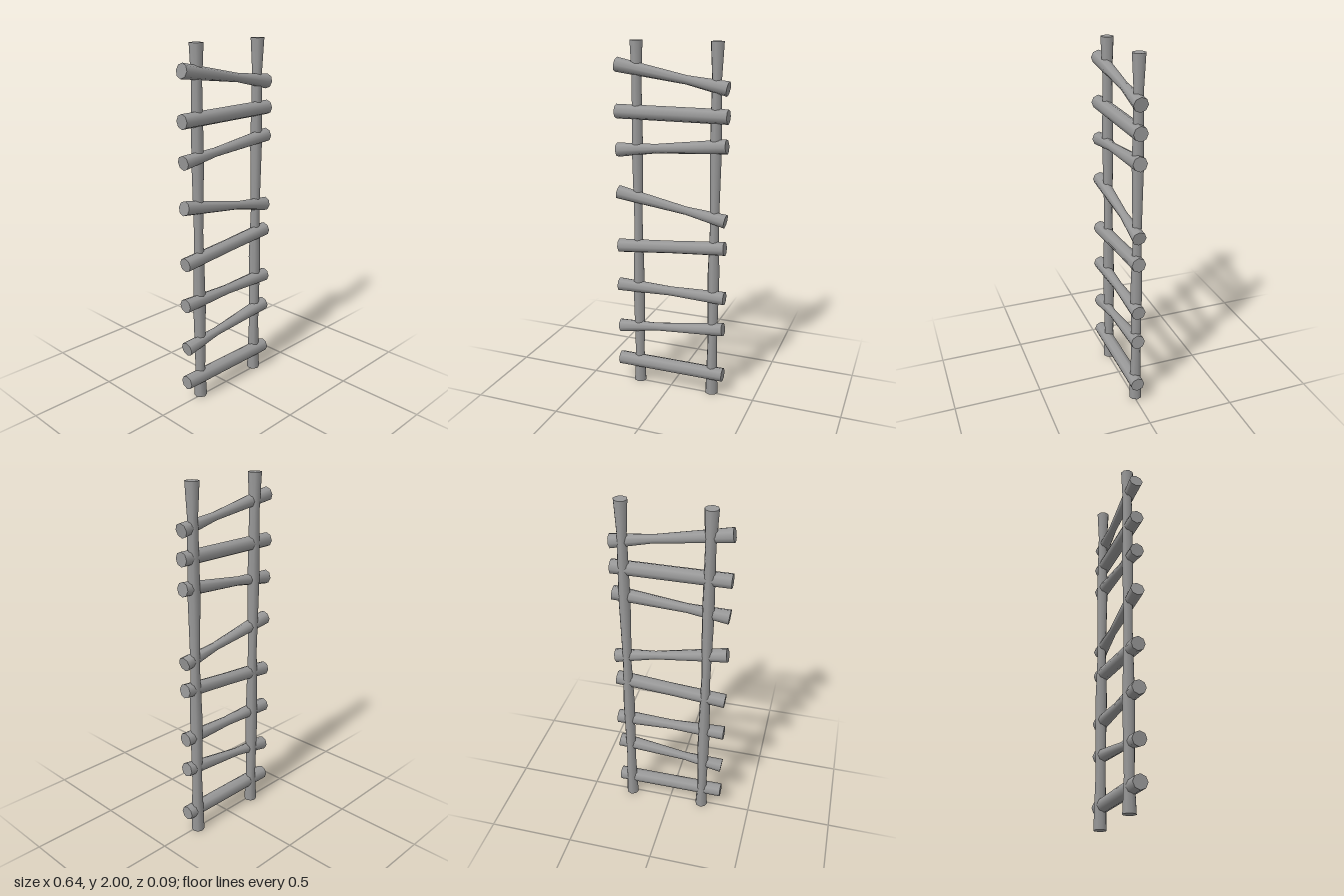
import * as THREE from 'three';

const material = new THREE.MeshStandardMaterial({ color: 0x999999 });

// Eight-sided log along y; stops are [position along the length 0..1, radius]
function log(name, length, stops) {
  const n = stops.length - 1;
  const geo = new THREE.CylinderGeometry(1, 1, 1, 8, n);
  const p = geo.attributes.position;
  for (let i = 0; i < p.count; i++) {
    const [t, r] = stops[Math.round((p.getY(i) + 0.5) * n)];
    p.setXYZ(i, p.getX(i) * r, (t - 0.5) * length, p.getZ(i) * r);
  }
  const mesh = new THREE.Mesh(geo, material);
  mesh.name = name;
  return mesh;
}

export function createModel() {
  const ladder = new THREE.Group();
  ladder.name = 'ladder';

  // Upright poles with slight swellings
  const poles = [
    ['rightPole', -0.202, [[0, 0.037], [0.09, 0.028], [0.28, 0.035], [0.5, 0.025], [0.7, 0.033], [0.9, 0.028], [1, 0.037]]],
    ['leftPole', 0.249, [[0, 0.037], [0.16, 0.028], [0.37, 0.034], [0.51, 0.025], [0.71, 0.033], [0.91, 0.027], [1, 0.037]]],
  ];
  for (const [name, x, stops] of poles) {
    const pole = log(name, 2, stops);
    pole.position.set(x, 1, -0.01);
    ladder.add(pole);
  }

  // Rungs: height at -x end, height at +x end, pinch position, pinch radius
  const R = 0.04;
  const rungs = [
    [0.131, 0.131, 0.5, R],
    [0.342, 0.417, 0.36, 0.024],
    [0.607, 0.607, 0.5, 0.028],
    [0.847, 0.9, 0.5, 0.037],
    [1.165, 1.055, 0.64, 0.024],
    [1.407, 1.464, 0.36, 0.026],
    [1.62, 1.62, 0.5, R],
    [1.871, 1.763, 0.64, 0.024],
  ];
  rungs.forEach(([y0, y1, t, r], i) => {
    const span = y0 === y1 ? 0.638 : 0.63;
    const rung = log('rung' + (i + 1), Math.hypot(span, y1 - y0), [[0, R], [t, r], [1, R]]);
    rung.position.set(0, (y0 + y1) / 2, 0.003);
    rung.rotation.z = Math.atan2(y1 - y0, span) - Math.PI / 2;
    ladder.add(rung);
  });
  return ladder;
}
